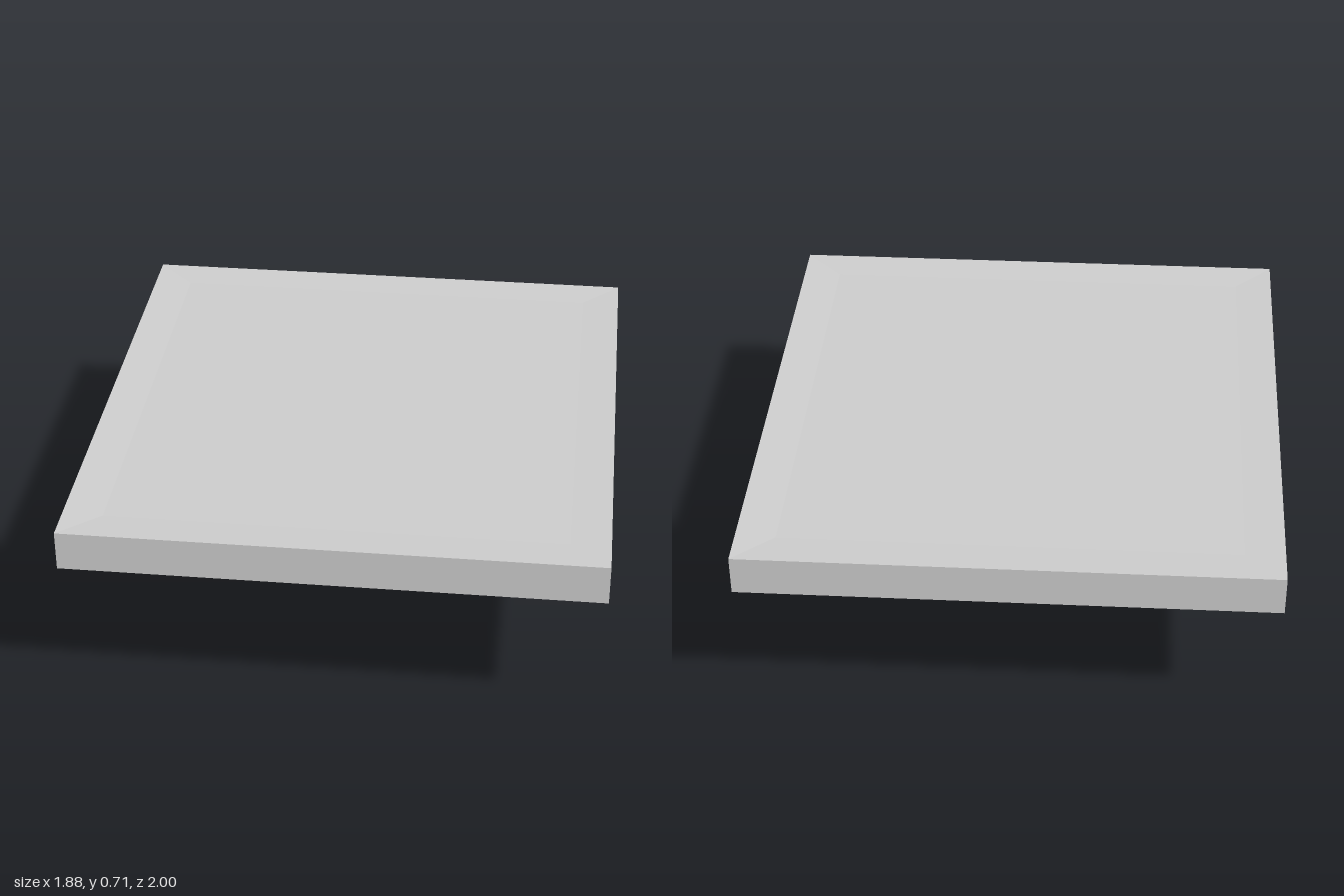
import * as THREE from 'three';

// Skin a stack of equal-length rings of [x, z] points at given heights, with flat caps
function loft(rings) {
  const n = rings[0].points.length;
  const pos = [], index = [];
  for (const { y, points } of rings) for (const [x, z] of points) pos.push(x, y, z);
  for (let r = 0; r < rings.length - 1; r++) {
    for (let j = 0; j < n; j++) {
      const k = (j + 1) % n;
      const a = r * n + j, b = r * n + k;
      index.push(a, a + n, b, b, a + n, b + n);
    }
  }
  const top = (rings.length - 1) * n;
  for (let j = 1; j < n - 1; j++) {
    index.push(0, j, j + 1);
    index.push(top, top + j + 1, top + j);
  }
  const indexed = new THREE.BufferGeometry();
  indexed.setAttribute('position', new THREE.Float32BufferAttribute(pos, 3));
  indexed.setIndex(index);
  const geometry = indexed.toNonIndexed();
  geometry.computeVertexNormals();
  return geometry;
}

// Rectangle ring
const rect = (y, x, z) => ({ y, points: [[x, -z], [x, z], [-x, z], [-x, -z]] });

// Eight-sided ring, slightly squared at the corners
function octagon(y, x, z) {
  const cx = x * 0.79, cz = z * 0.76;
  return { y, points: [[x, 0], [cx, cz], [0, z], [-cx, cz], [-x, 0], [-cx, -cz], [0, -z], [cx, -cz]] };
}

export function createModel() {
  const group = new THREE.Group();
  const grey = new THREE.MeshStandardMaterial({ color: 0xcccccc });
  grey.name = 'light grey';
  const add = (name, geometry) => {
    const mesh = new THREE.Mesh(geometry, grey);
    mesh.name = name;
    group.add(mesh);
  };

  // Ceiling plate: recessed underside, straight edges, faintly dished top
  add('ceilingPlate', loft([
    rect(0.605, 0.81, 0.875),
    rect(0.566, 0.81, 0.875),
    rect(0.566, 0.94, 1),
    rect(0.71, 0.94, 1),
    rect(0.704, 0.8, 0.865),
  ]));

  // Faceted bowl hanging below the plate, reaching into the recess
  add('lampBowl', loft([
    octagon(0, 0.07, 0.075),
    octagon(0.163, 0.39, 0.412),
    octagon(0.324, 0.506, 0.535),
    octagon(0.485, 0.57, 0.602),
    octagon(0.63, 0.5, 0.528),
  ]));

  return group;
}
